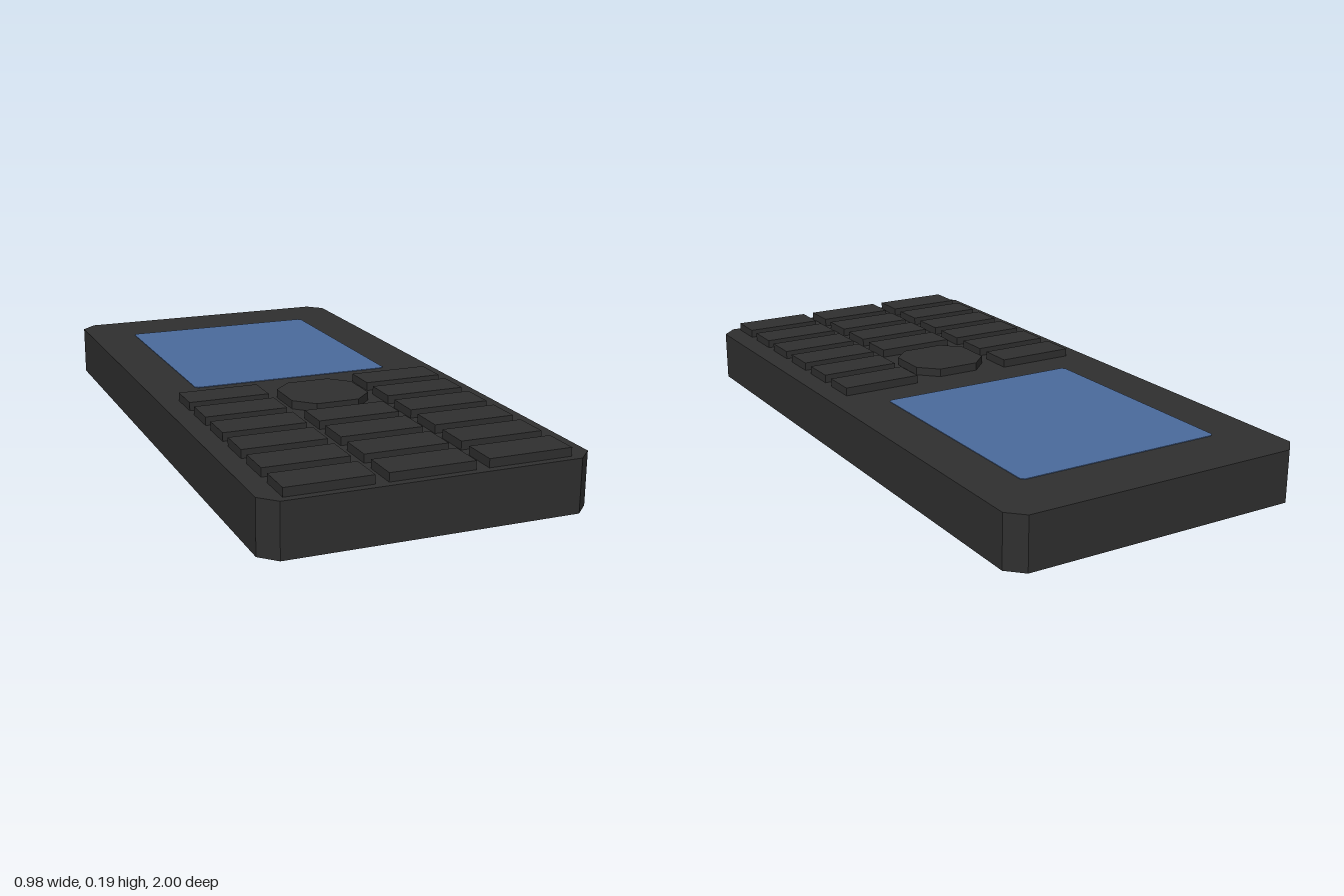
import * as THREE from 'three';

// Flat slab with cut corners, lying on y = 0 and centred on x and z
function slab(width, depth, height, cut) {
  const x = width / 2, z = depth / 2;
  const shape = new THREE.Shape([
    [x, -z + cut], [x, z - cut], [x - cut, z], [-x + cut, z],
    [-x, z - cut], [-x, -z + cut], [-x + cut, -z], [x - cut, -z],
  ].map(([a, b]) => new THREE.Vector2(a, b)));
  const geometry = new THREE.ExtrudeGeometry(shape, { depth: height, bevelEnabled: false });
  return geometry.rotateX(-Math.PI / 2);
}

export function createModel() {
  const phone = new THREE.Group();
  phone.name = 'mobilePhone';

  const casing = new THREE.MeshStandardMaterial({ color: 0x2f2f2f });
  casing.name = 'charcoal casing';
  const glass = new THREE.MeshStandardMaterial({ color: 0x4b6b9d });
  glass.name = 'blue screen';

  const add = (parent, name, geometry, material, x, y, z) => {
    const mesh = new THREE.Mesh(geometry, material);
    mesh.name = name;
    mesh.position.set(x, y, z);
    parent.add(mesh);
  };

  // Body and display
  const top = 0.162;
  add(phone, 'body', slab(0.978, 2, top, 0.048), casing, 0, 0, 0);
  add(phone, 'screen', slab(0.666, 0.764, 0.004, 0.01), glass, -0.002, top - 0.002, -0.417);

  // Keypad: six rows, the first two leave room for the navigation button
  const keypad = new THREE.Group();
  keypad.name = 'keypad';
  phone.add(keypad);
  const sink = 0.005, rise = 0.026;
  const keyGeometry = new THREE.BoxGeometry(0.256, rise + sink, 0.113);
  const keyY = top + (rise - sink) / 2;
  for (let row = 0; row < 6; row++) {
    for (let column = -1; column <= 1; column++) {
      if (row < 2 && column === 0) continue;
      add(keypad, `keyRow${row + 1}Column${column + 2}`, keyGeometry, casing,
        -0.002 + column * 0.295, keyY, 0.135 + row * 0.157);
    }
  }
  add(keypad, 'navigationButton', slab(0.254, 0.246, rise + sink, 0.058), casing,
    -0.002, top - sink, 0.222);

  return phone;
}
